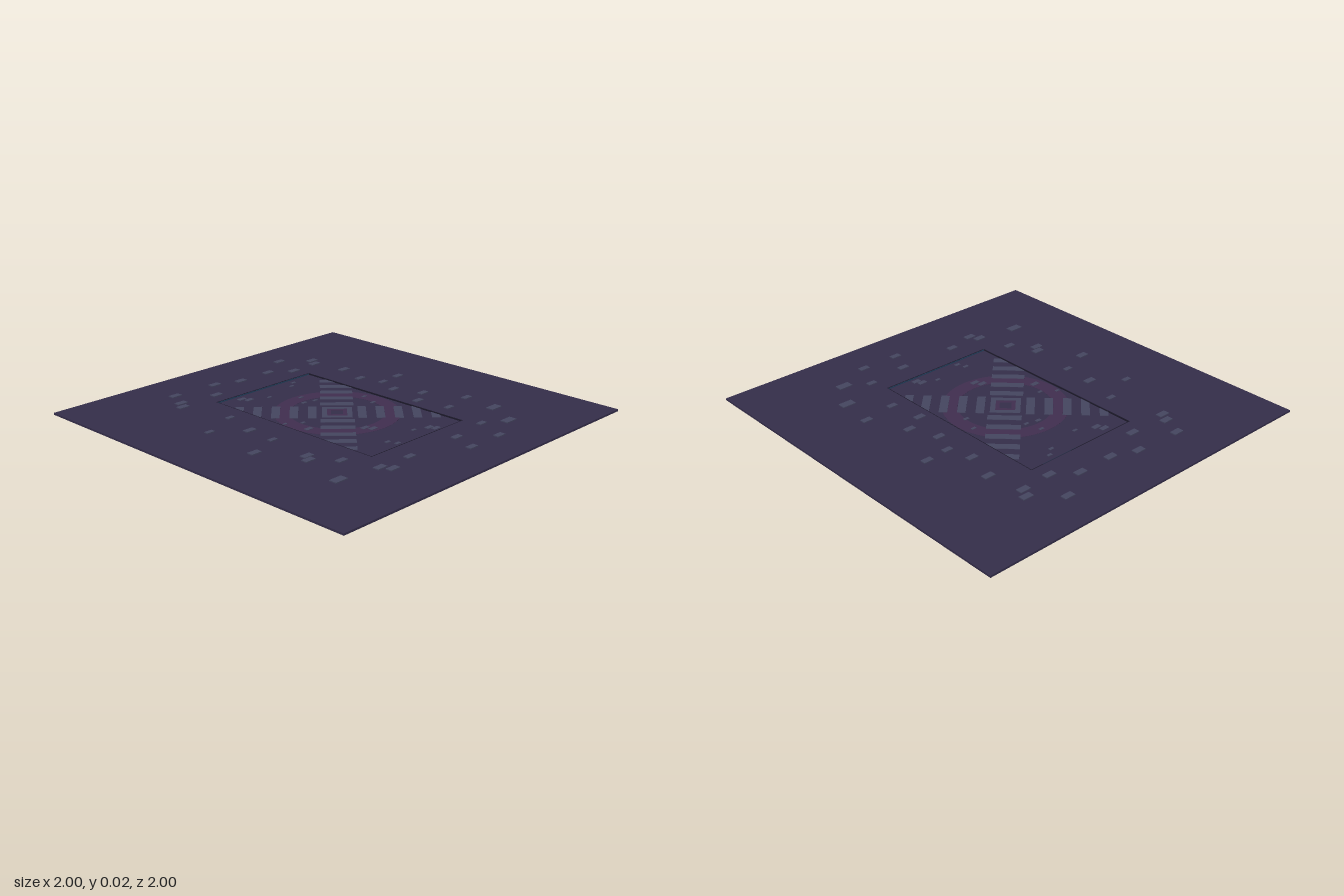
import * as THREE from 'three';

const mat = (color) => new THREE.MeshStandardMaterial({ color });
const violet = mat(0x352e4b), stone = mat(0x454660), plum = mat(0x412f50);
const dark = mat(0x1d1a2b), blue = mat(0x24415f);

const PANEL_X = 0.33, PANEL_Z = 0.535;   // half size of the sunken panel
const TOP = 0.013, FLOOR = 0.006, UNDER = 0.003;

// x, z and width of each loose stone, in hundredths
const outerStones = [
  -42, -76, 6, -16, -75, 6, -2, -70, 6, 18, -70, 6, 36, -80, 6, -47, -65, 6, -50, -60, 6,
  -26, -62, 6, 30, -62, 6, 50, -68, 6, 47, -63, 6, 51, -44, 6, -44, -31, 4.5, -64, -23, 4.5,
  -49, -11, 6, -67, 12, 6, -50, 6, 4.5, 46, -27, 5.5, 50, -14, 5, 63, -15, 5.5, 45, -2, 5.5,
  51, 13, 5.5, 40, 19, 5.5, 43, 37, 5, 61, 34, 5.5, -53, 32, 6, -56, 36, 6, -46, 47, 5.5,
  -63, 61.5, 7.5, -40, 65, 6, -37, 70, 6, -21, 66, 5.5, 13, 66, 5.5, 36, 63, 5, 58.5, 53.5, 7.5,
  48.5, 70, 7.5, 8, 79, 5.5, 29, 79, 5.5,
];
const innerStones = [
  -20, -49, 4.5, -18, -45.5, 4.5, -8, -41, 2.5, 17, -49, 2.7, 12.5, -45.5, 2.7, 3, -29, 2.7,
  -1.5, -22, 3, 5, -20.5, 2.7, -30, -6.5, 2.5, -22.5, -1.5, 2.5, -26.5, 6.5, 4.5, 27, -6.5, 2.7,
  23.5, 3, 3, -6.5, 25, 4.5, -4.5, 28.5, 4.5, -13, 45.5, 3, -11, 50, 3, 7.5, 44, 2.7,
  15.5, 47, 4.5, 17, 50, 4.5,
];

// Box given by its centre in plan, its size in plan and its bottom and top
function slab(parent, name, material, x, z, w, d, y0, y1) {
  const mesh = new THREE.Mesh(new THREE.BoxGeometry(w, y1 - y0, d), material);
  mesh.position.set(x, (y0 + y1) / 2, z);
  mesh.name = name;
  parent.add(mesh);
  return mesh;
}

function rectangle(P, hx, hz) {
  return new P([[-hx, -hz], [hx, -hz], [hx, hz], [-hx, hz]].map(([x, y]) => new THREE.Vector2(x, y)));
}

// Flat outline with a hole, raised from y0 to y1
function plate(parent, name, material, outline, hole, y0, y1) {
  outline.holes.push(hole);
  const geo = new THREE.ExtrudeGeometry(outline, { depth: y1 - y0, bevelEnabled: false, curveSegments: 32 });
  geo.rotateX(-Math.PI / 2);
  const mesh = new THREE.Mesh(geo, material);
  mesh.position.y = y0;
  mesh.name = name;
  parent.add(mesh);
  return mesh;
}

function scatter(parent, name, list, y0, y1) {
  const group = new THREE.Group();
  group.name = name;
  for (let i = 0; i < list.length; i += 3) {
    const [x, z, w] = list.slice(i, i + 3).map((v) => v / 100);
    slab(group, 'stone', stone, x, z, w, w * 0.58, y0, y1);
  }
  parent.add(group);
}

export function createModel() {
  const model = new THREE.Group();
  model.name = 'floorTile';

  // Ground slab with a sunken panel
  slab(model, 'panelFloor', violet, 0, 0, 2, 2, UNDER, FLOOR);
  plate(model, 'ground', violet, rectangle(THREE.Shape, 1, 1),
    rectangle(THREE.Path, PANEL_X, PANEL_Z), FLOOR, TOP);
  plate(model, 'panelRim', dark, rectangle(THREE.Shape, PANEL_X + 0.002, PANEL_Z + 0.002),
    rectangle(THREE.Path, PANEL_X - 0.002, PANEL_Z - 0.002), FLOOR, TOP + 0.0003);
  for (const s of [-1, 1]) {
    slab(model, 'panelEndStrip', blue, 0, s * (PANEL_Z - 0.003), 2 * PANEL_X - 0.004, 0.002, FLOOR, TOP - 0.001);
  }

  // Ring inlay
  const circle = new THREE.Shape().absarc(0, 0, 0.32, 0, Math.PI * 2);
  const inner = new THREE.Path().absarc(0, 0, 0.24, 0, Math.PI * 2, true);
  plate(model, 'ring', plum, circle, inner, 0.001, FLOOR + 0.001);

  // Diagonal cross of bars around a nested diamond
  const cross = new THREE.Group();
  cross.name = 'cross';
  cross.rotation.y = Math.PI / 4;
  for (let arm = 0; arm < 4; arm++) {
    const group = new THREE.Group();
    group.name = 'crossArm';
    group.rotation.y = arm * Math.PI / 2;
    for (let i = 0; i < 5; i++) {
      slab(group, 'bar', stone, 0.125 + i * 0.0915, 0, 0.043, 0.17, 0, FLOOR + 0.002);
    }
    cross.add(group);
  }
  plate(cross, 'outerDiamond', stone, rectangle(THREE.Shape, 0.076, 0.076),
    rectangle(THREE.Path, 0.05, 0.05), 0, FLOOR + 0.002);
  plate(cross, 'innerDiamond', plum, rectangle(THREE.Shape, 0.05, 0.05),
    rectangle(THREE.Path, 0.03, 0.03), 0.001, FLOOR + 0.001);
  model.add(cross);

  // Loose stones on the ground and in the panel
  scatter(model, 'groundStones', outerStones, TOP - 0.002, 0.018);
  scatter(model, 'panelStones', innerStones, 0.001, FLOOR + 0.003);
  return model;
}
